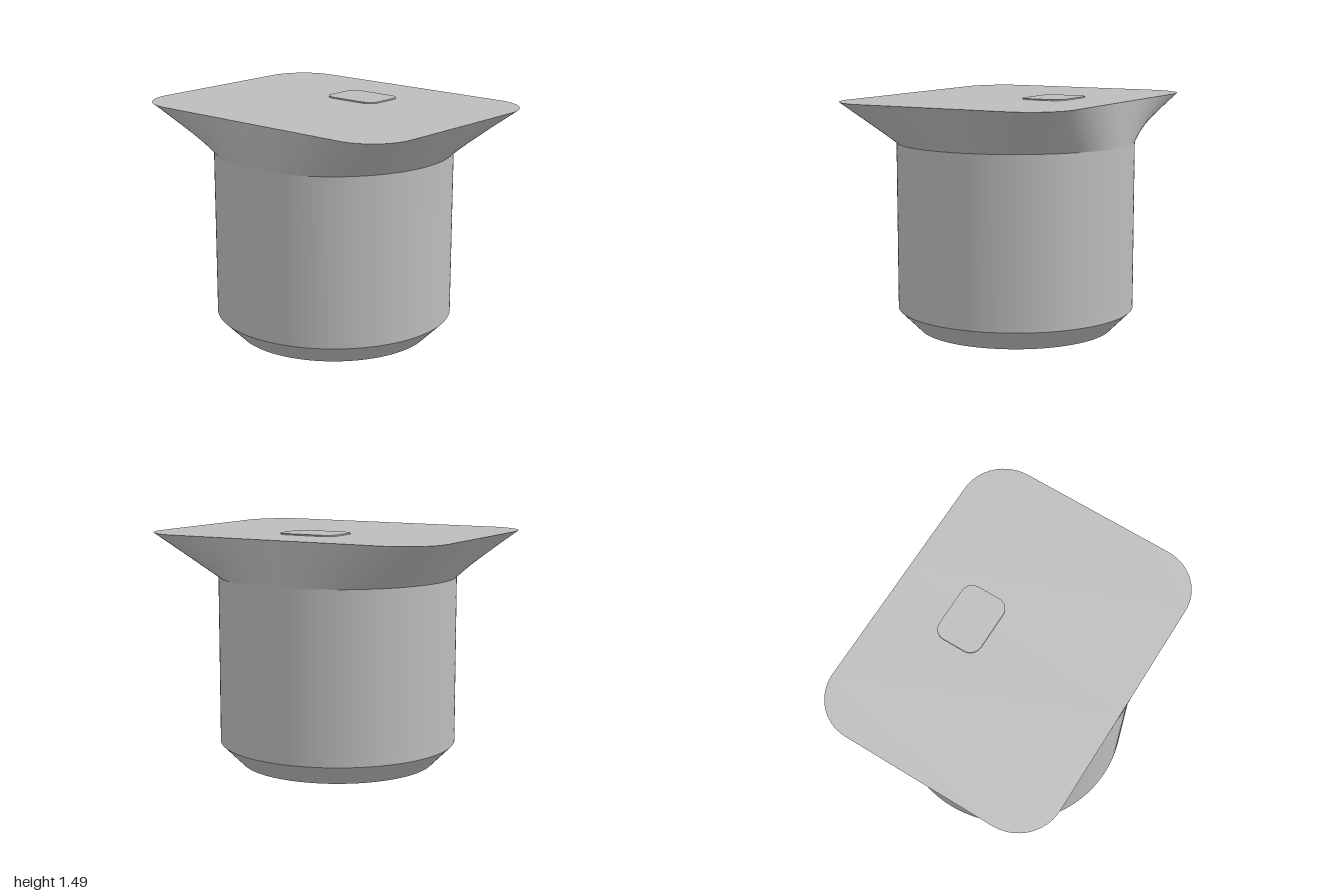
import * as THREE from 'three';

const RADIUS = 0.755, BASE_RADIUS = 0.62;
const CHAMFER_TOP = 0.135, BODY_TOP = 1.2, PLATE_Y = 1.48;
const SEGMENTS = 160;

// Rounded rectangle with half sizes a, b, starting at the middle of one long side
function roundedRect(a, b, r) {
  const s = new THREE.Shape();
  s.moveTo(0, b);
  s.lineTo(a - r, b);
  s.absarc(a - r, b - r, r, Math.PI / 2, 0, true);
  s.lineTo(a, r - b);
  s.absarc(a - r, r - b, r, 0, -Math.PI / 2, true);
  s.lineTo(r - a, -b);
  s.absarc(r - a, r - b, r, -Math.PI / 2, -Math.PI, true);
  s.lineTo(-a, b - r);
  s.absarc(r - a, b - r, r, Math.PI, Math.PI / 2, true);
  s.lineTo(0, b);
  return s;
}

// Straight-ruled loft from the body's circle to the plate's outline
function flareGeometry(outline) {
  const rings = 8, positions = [], indices = [];
  for (let j = 0; j <= rings; j++) {
    const t = j / rings;
    for (let i = 0; i < SEGMENTS; i++) {
      const angle = (i / SEGMENTS) * Math.PI * 2;
      positions.push(
        THREE.MathUtils.lerp(RADIUS * Math.sin(angle), outline[i].x, t),
        THREE.MathUtils.lerp(BODY_TOP, PLATE_Y, t),
        THREE.MathUtils.lerp(RADIUS * Math.cos(angle), outline[i].y, t)
      );
      if (j < rings) {
        const next = (i + 1) % SEGMENTS;
        const a = j * SEGMENTS + i, b = j * SEGMENTS + next;
        indices.push(a, b, b + SEGMENTS, a, b + SEGMENTS, a + SEGMENTS);
      }
    }
  }
  const g = new THREE.BufferGeometry();
  g.setAttribute('position', new THREE.Float32BufferAttribute(positions, 3));
  g.setIndex(indices);
  g.computeVertexNormals();
  return g;
}

export function createModel() {
  const model = new THREE.Group();
  const grey = new THREE.MeshStandardMaterial({ color: 0xbcbcbc });
  grey.name = 'grey';

  const add = (name, geometry, y = 0, z = 0) => {
    const mesh = new THREE.Mesh(geometry, grey);
    mesh.name = name;
    mesh.position.set(0, y, z);
    model.add(mesh);
  };

  // Round body with a chamfered foot
  const bodyHeight = BODY_TOP - CHAMFER_TOP;
  add('body', new THREE.CylinderGeometry(RADIUS, RADIUS, bodyHeight, SEGMENTS, 1, true), CHAMFER_TOP + bodyHeight / 2);
  add('footChamfer', new THREE.CylinderGeometry(RADIUS, BASE_RADIUS, CHAMFER_TOP, SEGMENTS, 1, true), CHAMFER_TOP / 2);
  add('footBase', new THREE.CircleGeometry(BASE_RADIUS, SEGMENTS).rotateX(Math.PI / 2));

  // Flared neck and the flat plate closing it
  const outline = roundedRect(1, 0.778, 0.28).getSpacedPoints(SEGMENTS).slice(0, SEGMENTS);
  add('flare', flareGeometry(outline));
  add('topPlate', new THREE.ShapeGeometry(new THREE.Shape(outline)).rotateX(-Math.PI / 2), PLATE_Y);

  // Thin raised pad towards the back of the plate
  const pad = new THREE.ExtrudeGeometry(roundedRect(0.197, 0.146, 0.075), {
    depth: 0.008, bevelEnabled: false, curveSegments: 12,
  });
  add('raisedPad', pad.rotateX(-Math.PI / 2), PLATE_Y, -0.275);

  return model;
}
